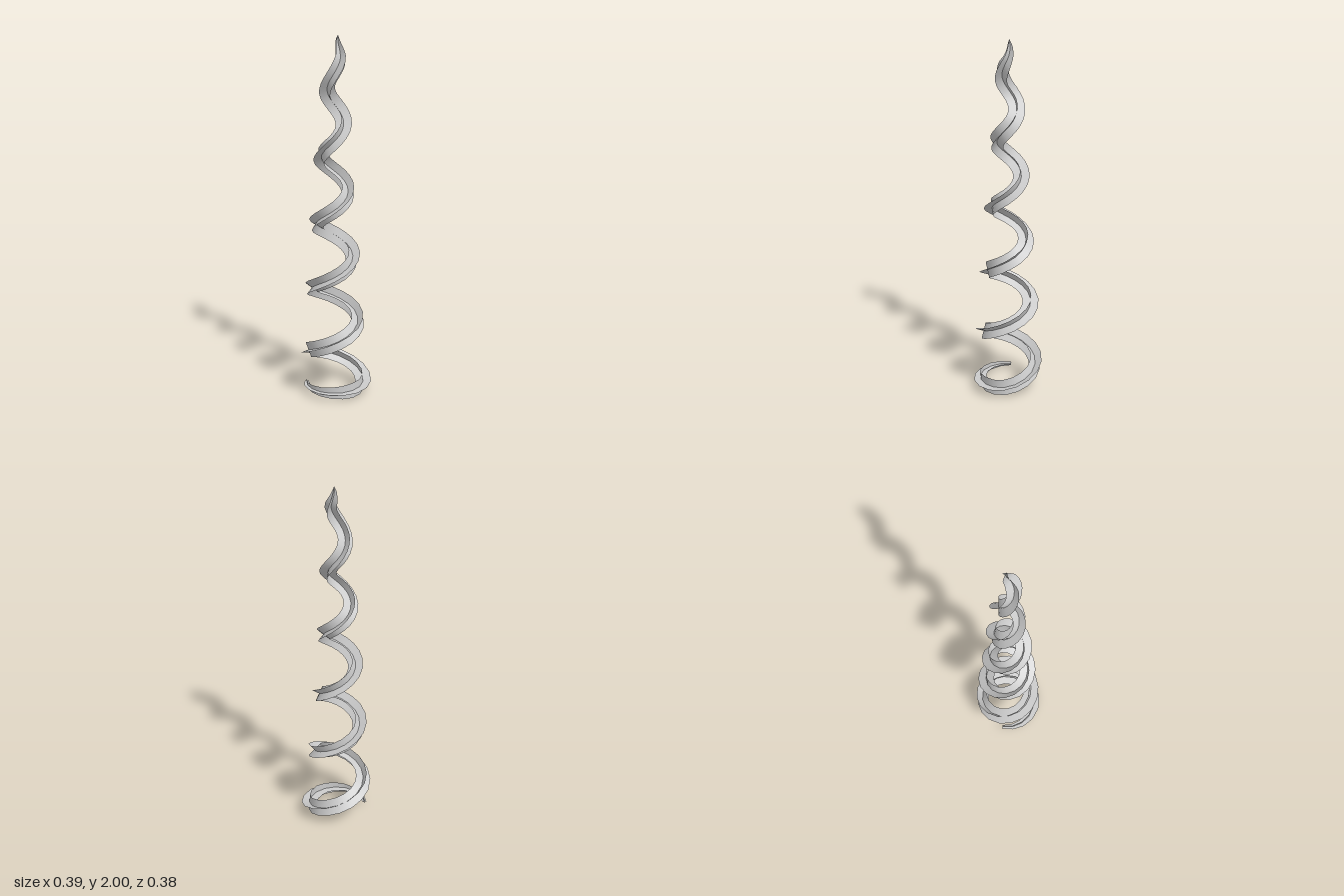
import * as THREE from 'three';

const START = -0.5, END = 5.27, STEPS = 94; // measured in turns
const HALF_WIDTH = 0.045;

// Centre line: a tapering coil that lies flat for its first half turn
function coilPoint(u) {
  const d = 0.005 + 0.37 * u;
  const y = 0.045 + (d + Math.sqrt(d * d + 0.0008)) / 2;
  const r = (0.164 - 0.0725 * y) * Math.min(1, Math.max(0, (END - u) / 0.4 + 0.2));
  const a = u * Math.PI * 2;
  const lean = Math.sqrt(Math.max(0, Math.sin(Math.PI * y / 2)));
  return new THREE.Vector3(
    r * Math.cos(a) - 0.011 * lean + 0.013 * Math.pow(y / 2, 12),
    y,
    -r * Math.sin(a) + 0.006 * lean
  );
}

// Width factor: narrow at the lower end, pointed at the top
function taper(u) {
  const low = Math.min(1, 0.25 + (u - START) / 0.5);
  const high = Math.min(1, Math.pow(Math.max(0, END - u) / 0.4, 0.7));
  return Math.min(low, high);
}

// Sections along the coil, carried from one to the next without extra twist
function makeSections() {
  const sections = [];
  const e = 0.005;
  const turn = new THREE.Quaternion();
  const out = new THREE.Vector3(-1, 0, 0);
  let last = null;
  for (let i = 0; i <= STEPS; i++) {
    const u = START + (END - START) * i / STEPS;
    const tangent = coilPoint(u + e).sub(coilPoint(u - e)).normalize();
    if (last) out.applyQuaternion(turn.setFromUnitVectors(last, tangent));
    out.addScaledVector(tangent, -out.dot(tangent)).normalize();
    const across = tangent.clone().cross(out);
    sections.push({ centre: coilPoint(u), out: out.clone(), across, half: HALF_WIDTH * taper(u) });
    last = tangent;
  }
  return sections;
}

// Strip centred on the coil, spread along one axis of each section
function strip(name, sections, axis, material) {
  const pos = [], index = [];
  sections.forEach((s, i) => {
    for (const side of [-1, 1]) {
      const p = s.centre.clone().addScaledVector(s[axis], side * s.half);
      pos.push(p.x, THREE.MathUtils.clamp(p.y, 0, 2), p.z);
    }
    if (i < STEPS) {
      const k = i * 2;
      index.push(k, k + 2, k + 1, k + 1, k + 2, k + 3);
    }
  });
  const g = new THREE.BufferGeometry();
  g.setAttribute('position', new THREE.Float32BufferAttribute(pos, 3));
  g.setIndex(index);
  g.computeVertexNormals();
  const mesh = new THREE.Mesh(g, material);
  mesh.name = name;
  return mesh;
}

export function createModel() {
  const group = new THREE.Group();
  group.name = 'spiralTendril';
  const material = new THREE.MeshStandardMaterial({ color: 0xcccccc, side: THREE.DoubleSide });
  const sections = makeSections();
  // Two strips crossing at right angles along the whole coil
  group.add(strip('uprightStrip', sections, 'across', material));
  group.add(strip('flatStrip', sections, 'out', material));
  return group;
}
